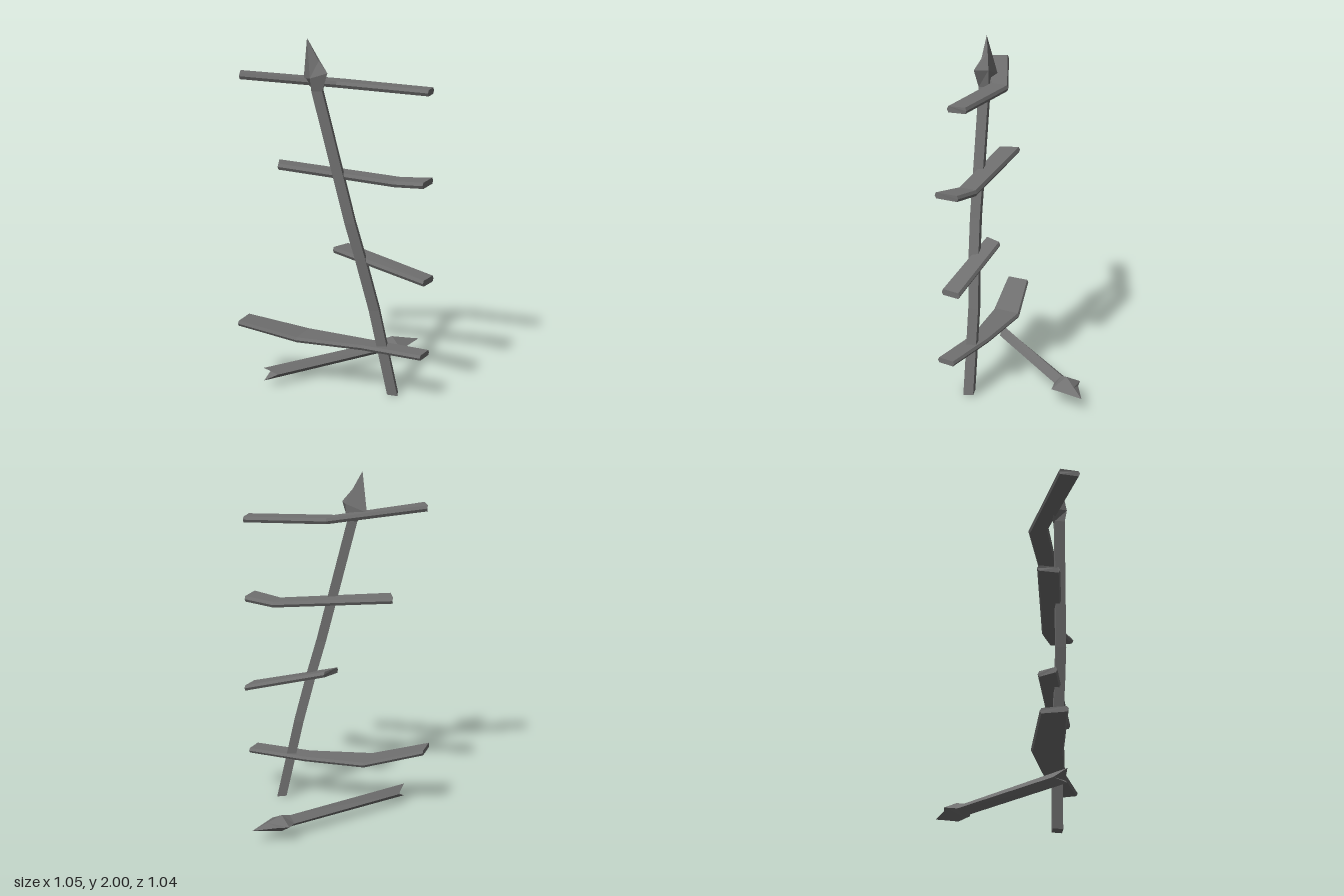
import * as THREE from 'three';

const material = new THREE.MeshStandardMaterial({ color: 0x707070, flatShading: true });

// Skins a list of rings (counter-clockwise about the path) and closes both ends.
function loft(name, rings) {
  const pos = [];
  const tri = (a, b, c) => pos.push(...a, ...b, ...c);
  const n = rings[0].length;
  for (let i = 0; i < rings.length - 1; i++) {
    for (let j = 0; j < n; j++) {
      const k = (j + 1) % n;
      const [a, b, c, d] = [rings[i][j], rings[i][k], rings[i + 1][k], rings[i + 1][j]];
      tri(a, b, c);
      if (c !== d) tri(a, c, d);
    }
  }
  // end caps fan out from the second corner
  const s = rings[0], e = rings[rings.length - 1];
  for (let j = 2; j < n; j++) {
    const k = (j + 1) % n;
    tri(s[1], s[k], s[j]);
    if (e[0] !== e[1]) tri(e[1], e[j], e[k]);
  }
  const geo = new THREE.BufferGeometry();
  geo.setAttribute('position', new THREE.Float32BufferAttribute(pos, 3));
  geo.computeVertexNormals();
  const mesh = new THREE.Mesh(geo, material);
  mesh.name = name;
  return mesh;
}

const point = (p) => [p, p, p, p];

// Bent plank with ridged long sides: stations of [back x, back z, front x, front z, top y].
function rail(name, stations, thick = 0.034) {
  const inset = 0.009;
  return loft(name, stations.map(([bx, bz, fx, fz, y]) => [
    [bx, y, bz + inset],
    [fx, y, fz - inset],
    [fx, y - thick / 2, fz],
    [fx, y - thick, fz - inset],
    [bx, y - thick, bz + inset],
    [bx, y - thick / 2, bz],
  ]));
}

// Leaning post, corners ordered right, back, left, front.
function standingPost() {
  const corners = [[0.038, 0.015], [0.015, -0.038], [-0.038, -0.015], [-0.015, 0.038]];
  const path = [[0.322, 0.005, 0.135], [0.22, 0.5, 0.168], [0.155, 0.8, 0.21],
    [0.105, 1, 0.235], [-0.065, 1.72, 0.29]];
  const rings = path.map(([x, y, z], i) =>
    corners.map(([dx, dz]) => [x + dx, i ? y : y - dx * 0.13, z + dz]));
  // spear head with one chipped edge
  rings.push(
    [[0.01, 1.82, 0.31], [-0.04, 1.82, 0.245], [-0.163, 1.775, 0.27], [-0.08, 1.79, 0.342]],
    [[-0.05, 1.88, 0.3], [-0.078, 1.91, 0.277], [-0.139, 1.888, 0.29], [-0.097, 1.895, 0.326]],
    point([-0.115, 2, 0.31]));
  return loft('standingPost', rings);
}

// Broken post lying on the ground, corners ordered up, right, down, left.
function fallenPost() {
  const rings = [
    // split end: upper and lower edges stand proud of the sides
    [[-0.372, 0.112, 0.4], [-0.3, 0.072, 0.365], [-0.372, 0.034, 0.4], [-0.372, 0.072, 0.325]],
    [[0.03, 0.118, -0.31], [0.07, 0.082, -0.287], [0.03, 0.046, -0.31], [-0.01, 0.082, -0.33]],
    // spear head with one chipped edge
    [[0.055, 0.135, -0.36], [0.142, 0.08, -0.315], [0.06, 0.03, -0.35], [-0.018, 0.092, -0.405]],
    [[0.104, 0.11, -0.44], [0.148, 0.083, -0.419], [0.106, 0.058, -0.437], [0.034, 0.088, -0.426]],
    point([0.154, 0.085, -0.523]),
  ];
  return loft('fallenPost', rings);
}

export function createModel() {
  const group = new THREE.Group();
  group.name = 'brokenFence';
  group.add(
    standingPost(),
    fallenPost(),
    rail('topRail', [
      [-0.47, 0.41, -0.413, 0.518, 1.818],
      [0, 0.08, 0, 0.205, 1.762],
      [0.485, 0, 0.505, 0.113, 1.742],
    ]),
    rail('upperRail', [
      [-0.342, 0.24, -0.285, 0.355, 1.308],
      [0.33, 0.055, 0.34, 0.178, 1.246],
      [0.51, 0.045, 0.522, 0.195, 1.262],
    ]),
    rail('middleRail', [
      [0.03, 0.12, 0.0, 0.245, 0.846],
      [0.52, 0.04, 0.518, 0.165, 0.71],
    ]),
    rail('bottomRail', [
      [-0.525, 0.305, -0.508, 0.452, 0.387],
      [-0.21, 0.155, -0.195, 0.333, 0.306],
      [0.16, 0.108, 0.17, 0.228, 0.293],
      [0.522, 0.085, 0.522, 0.2, 0.29],
    ], 0.03),
  );
  return group;
}
